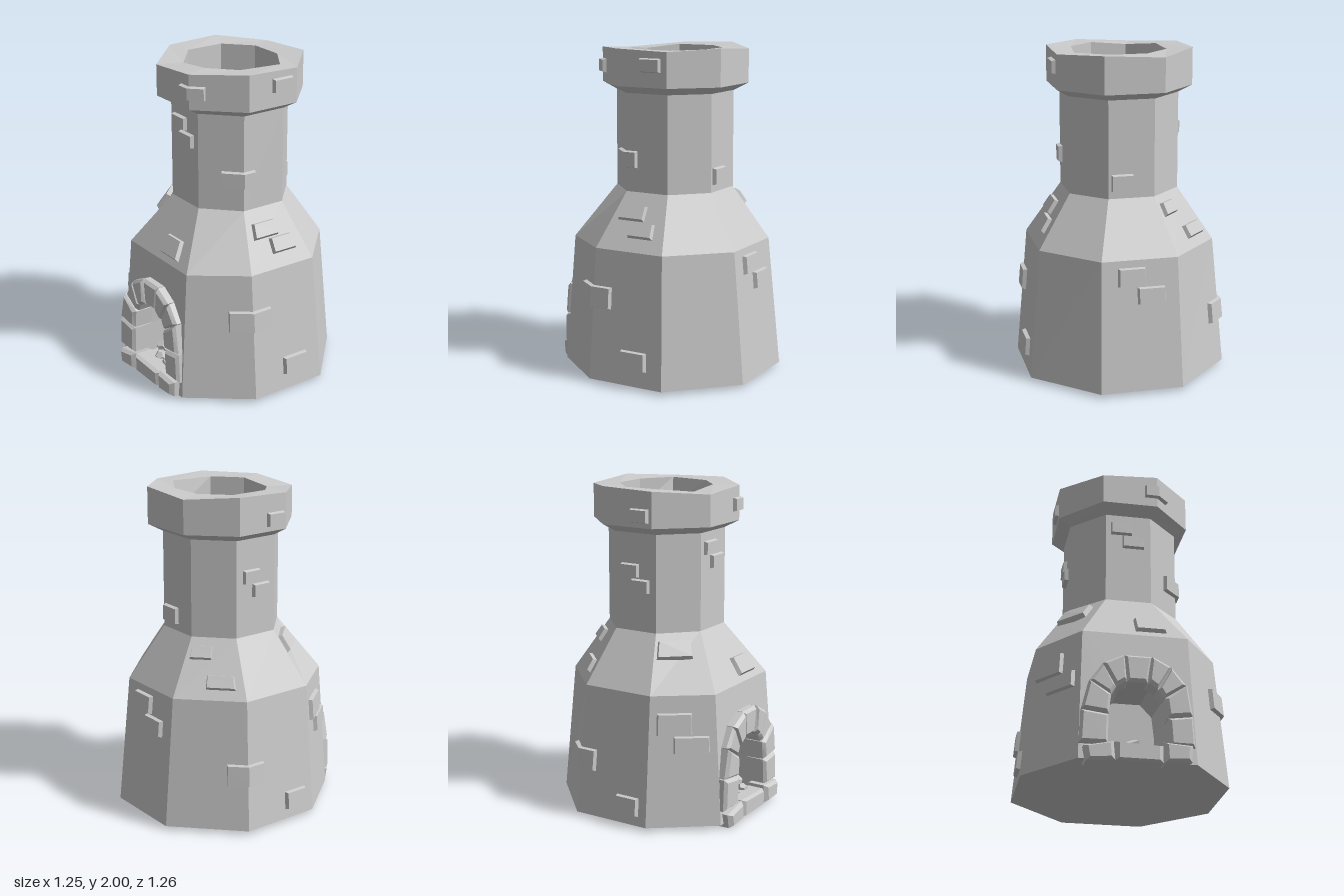
import * as THREE from 'three';

const V = (x, y, z) => new THREE.Vector3(x, y, z);
const stoneMat = new THREE.MeshStandardMaterial({ color: 0xcccccc, flatShading: true });

function addMesh(parent, name, geometry) {
  const mesh = new THREE.Mesh(geometry, stoneMat);
  mesh.name = name;
  parent.add(mesh);
  return mesh;
}

// Joins matching loops of points with flat faces; loops run counter-clockwise seen from the end.
function loft(loops, { startCap = true, endCap = true, skip = () => false } = {}) {
  const pts = [];
  const tri = (a, b, c) => pts.push(a, b, c);
  const n = loops[0].length;
  for (let i = 0; i < loops.length - 1; i++) {
    for (let j = 0; j < n; j++) {
      if (skip(i, j)) continue;
      const k = (j + 1) % n;
      tri(loops[i][j], loops[i][k], loops[i + 1][k]);
      tri(loops[i][j], loops[i + 1][k], loops[i + 1][j]);
    }
  }
  const first = loops[0], last = loops[loops.length - 1];
  for (let j = 1; j < n - 1; j++) {
    if (startCap) tri(first[0], first[j + 1], first[j]);
    if (endCap) tri(last[0], last[j], last[j + 1]);
  }
  const g = new THREE.BufferGeometry().setFromPoints(pts);
  g.computeVertexNormals();
  return g;
}

// Uneven octagon, starting at the front edge and running towards +x.
function octagon(y, f, zf, sx, z1, z2, b, zb) {
  return [V(-f, y, zf), V(f, y, zf), V(sx, y, z1), V(sx, y, z2),
    V(b, y, zb), V(-b, y, zb), V(-sx, y, z2), V(-sx, y, z1)];
}

const rings = [
  octagon(0.025, 0.335, 0.575, 0.61, 0.22, -0.28, 0.25, -0.632),
  octagon(0.82, 0.31, 0.515, 0.54, 0.21, -0.245, 0.23, -0.555),
  octagon(1.14, 0.14, 0.31, 0.335, 0.12, -0.165, 0.14, -0.35),
  octagon(1.73, 0.14, 0.31, 0.335, 0.12, -0.165, 0.14, -0.35),
  octagon(1.775, 0.17, 0.39, 0.41, 0.14, -0.2, 0.18, -0.43),
  octagon(1.99, 0.17, 0.39, 0.41, 0.14, -0.2, 0.18, -0.43),
];
const frontZ = (y) => THREE.MathUtils.mapLinear(y, 0.025, 0.82, 0.575, 0.515);

// Point on the wall: t counts octagon corners, y is the height.
function wallPoint(t, y) {
  let i = 0;
  while (i < rings.length - 2 && y > rings[i + 1][0].y) i++;
  const s = (y - rings[i][0].y) / (rings[i + 1][0].y - rings[i][0].y);
  const e = Math.floor(t), a = e % 8, b = (e + 1) % 8;
  const low = rings[i][a].clone().lerp(rings[i][b], t - e);
  const high = rings[i + 1][a].clone().lerp(rings[i + 1][b], t - e);
  return low.lerp(high, s);
}

function wallNormal(t, y) {
  const side = (u) => {
    const e = Math.floor(u) + 0.5;
    const along = wallPoint(e + 0.2, y).sub(wallPoint(e - 0.2, y));
    const up = wallPoint(e, y + 0.004).sub(wallPoint(e, y - 0.004));
    return along.cross(up).normalize();
  };
  return side(t + 0.001).add(side(t - 0.001 + 8)).normalize();
}

// Raised brick that follows the wall from t0 to t1, bending round any corner between.
function brick(t0, t1, y0, y1) {
  const ts = [t0];
  for (let c = Math.ceil(t0); c < t1; c++) if (c > t0) ts.push(c);
  ts.push(t1);
  const ym = (y0 + y1) / 2, bevel = 0.01;
  const loops = ts.map((t, i) => {
    const n = wallNormal(t, ym);
    const shift = i === 0 ? 0.03 : i === ts.length - 1 ? -0.03 : 0;
    const at = (u, y, d) => wallPoint(u, y).addScaledVector(n, d);
    return [at(t, y0, -0.015), at(t, y1, -0.015),
      at(t + shift, y1 - bevel, 0.024), at(t + shift, y0 + bevel, 0.024)];
  });
  return loft(loops);
}

// Block with a bevelled front, from four [x, y] corners counter-clockwise.
function block(corners, zBack, zFront, bevel = 0.02) {
  const cx = corners.reduce((s, p) => s + p[0], 0) / 4;
  const cy = corners.reduce((s, p) => s + p[1], 0) / 4;
  const loop = (inset, z) => corners.map(([x, y]) => {
    const k = 1 - inset / Math.hypot(x - cx, y - cy);
    return V(cx + (x - cx) * k, cy + (y - cy) * k, z);
  });
  return loft([loop(0.004, zBack), loop(0.004, zFront - bevel), loop(bevel + 0.006, zFront)]);
}

export function createModel() {
  const model = new THREE.Group();
  model.name = 'stoneFurnace';

  // Tower with chipped rim and flue
  const rim = rings[5].map((p) => p.clone());
  const lip = octagon(1.985, 0.11, 0.24, 0.265, 0.1, -0.14, 0.11, -0.285);
  [1.965, 1.985, 1.995, 1.985, 2, 1.98, 2, 1.99].forEach((y, i) => { rim[i].y = y; });
  lip[0].y = 1.965;
  lip[3].set(0.3, 1.985, -0.16);
  const flue = (y) => octagon(y, 0.11, 0.24, 0.265, 0.1, -0.14, 0.11, -0.285);
  addMesh(model, 'tower', loft([...rings.slice(0, 5), rim, lip, flue(1.82), flue(1.3)],
    { skip: (i, j) => i === 0 && j === 0 }));

  // Front wall with the hearth opening
  const opening = [[-0.18, 0.09], [0.19, 0.09], [0.18, 0.3], [0.165, 0.43],
    [0.09, 0.505], [-0.09, 0.505], [-0.165, 0.43], [-0.175, 0.29]];
  const wall = new THREE.Shape(rings[0].slice(0, 2).concat(rings[1][1], rings[1][0])
    .map((p) => new THREE.Vector2(p.x, p.y)));
  wall.holes.push(new THREE.Path(opening.map(([x, y]) => new THREE.Vector2(x, y))));
  const wallGeo = new THREE.ShapeGeometry(wall);
  const pos = wallGeo.attributes.position;
  for (let i = 0; i < pos.count; i++) pos.setZ(i, frontZ(pos.getY(i)));
  wallGeo.computeVertexNormals();
  addMesh(model, 'frontWall', wallGeo);
  addMesh(model, 'hearth', loft([
    opening.map(([x, y]) => V(x, y, frontZ(y))),
    opening.map(([x, y]) => V(x * 0.92, y, 0.22)),
  ], { startCap: false }));

  // Arch stones
  const outer = [[-0.335, 0.11], [-0.325, 0.31], [-0.28, 0.49], [-0.2, 0.605], [-0.075, 0.665],
    [0.085, 0.665], [0.2, 0.605], [0.285, 0.5], [0.315, 0.31], [0.325, 0.12]];
  const inner = [[-0.17, 0.11], [-0.165, 0.29], [-0.15, 0.41], [-0.12, 0.46], [-0.06, 0.495],
    [0.06, 0.495], [0.115, 0.46], [0.15, 0.41], [0.17, 0.29], [0.18, 0.12]];
  const arch = new THREE.Group();
  arch.name = 'arch';
  model.add(arch);
  for (let i = 0; i < outer.length - 1; i++) {
    const zFront = 0.612 - 0.04 * outer[i][1] + (i % 2) * 0.008;
    addMesh(arch, 'archStone', block([inner[i], inner[i + 1], outer[i + 1], outer[i]], 0.47, zFront));
  }

  // Hearth sill
  const sill = new THREE.Group();
  sill.name = 'sill';
  model.add(sill);
  [
    [[-0.3, 0], [-0.13, 0.015], [-0.14, 0.125], [-0.315, 0.09]],
    [[-0.14, 0.015], [0.14, 0.015], [0.14, 0.115], [-0.14, 0.125]],
    [[0.14, 0.015], [0.3, 0.025], [0.305, 0.125], [0.135, 0.135]],
  ].forEach((c, i) => addMesh(sill, 'sillStone', block(c, 0.5, [0.632, 0.625, 0.632][i], 0.025)));

  // Burnt rubble inside the hearth
  const rubble = new THREE.Group();
  rubble.name = 'rubble';
  model.add(rubble);
  [[-0.1, 0.13, 0.42, 0.05], [0.02, 0.14, 0.38, 0.065], [0.11, 0.13, 0.42, 0.05],
    [-0.03, 0.12, 0.49, 0.04], [0.06, 0.12, 0.5, 0.035]].forEach(([x, y, z, r], i) => {
    const lump = addMesh(rubble, 'ember', new THREE.DodecahedronGeometry(r));
    lump.position.set(x, y, z);
    lump.rotation.set(i, i * 2, i * 0.7);
  });
  [[-0.05, 0.17, 0.4, 0.5, 0.25], [0.06, 0.17, 0.36, -0.6, -0.25]].forEach(([x, y, z, ry, rz]) => {
    const log = addMesh(rubble, 'log', new THREE.BoxGeometry(0.2, 0.035, 0.045));
    log.position.set(x, y, z);
    log.rotation.set(0.4, ry, rz);
  });

  // Raised bricks: start corner, end corner, bottom, top
  const bricks = new THREE.Group();
  bricks.name = 'bricks';
  model.add(bricks);
  [
    // rim
    [0.76, 1.29, 1.83, 1.92], [2.47, 2.9, 1.86, 1.95], [6.57, 6.95, 1.8, 1.89],
    // neck
    [0.1, 0.6, 1.59, 1.68], [0.36, 0.86, 1.5, 1.59], [1.5, 2.28, 1.28, 1.39],
    [4.05, 4.55, 1.18, 1.29], [6.15, 6.6, 1.46, 1.55], [6.4, 6.85, 1.37, 1.46],
    // shoulder
    [0.5, 0.84, 0.85, 0.96], [7.05, 7.75, 1.0, 1.1], [2.12, 2.62, 0.98, 1.07],
    [2.4, 2.83, 0.89, 0.98], [5.07, 5.5, 1.02, 1.1], [5.42, 5.88, 0.87, 0.95],
    // base
    [7.1, 7.65, 0.58, 0.72], [7.35, 7.9, 0.47, 0.58], [1.63, 2.28, 0.46, 0.6],
    [2.42, 2.8, 0.12, 0.24], [4.2, 4.58, 0.66, 0.78], [4.45, 4.83, 0.55, 0.66],
    [5.72, 6.25, 0.3, 0.44], [6.56, 6.9, 0.08, 0.2],
  ].forEach((b) => addMesh(bricks, 'brick', brick(...b)));

  return model;
}
